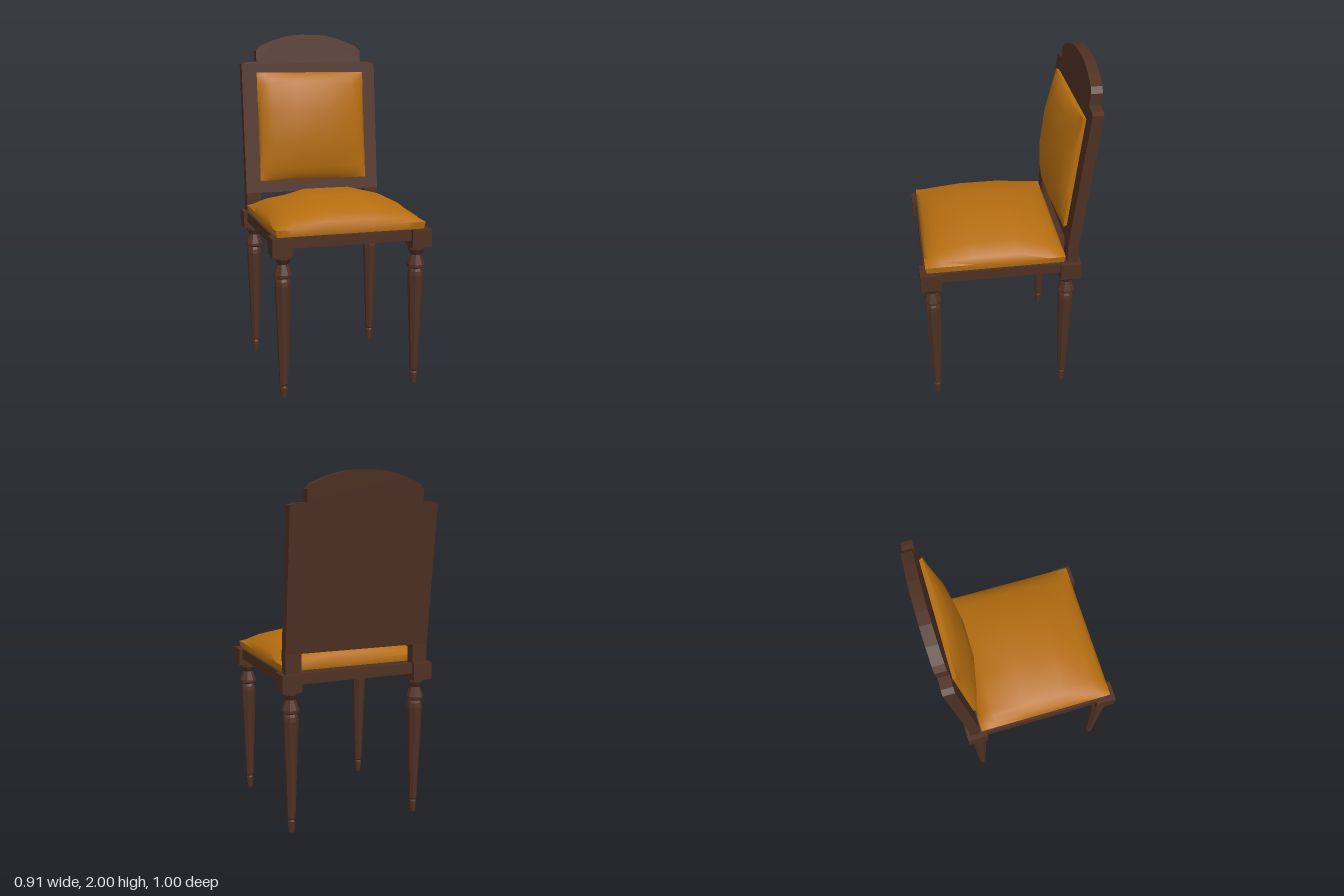
import * as THREE from 'three';
import { mergeVertices, toCreasedNormals } from 'three/addons/utils/BufferGeometryUtils.js';

const wood = new THREE.MeshStandardMaterial({ color: 0x4e3023, flatShading: true });
const fabric = new THREE.MeshStandardMaterial({ color: 0xb56d10 });

const SEAT_TOP = 0.92, BEND = 1.03, LEAN = 0.1134;

function add(parent, name, geometry, material, x = 0, y = 0, z = 0) {
  const mesh = new THREE.Mesh(geometry, material);
  mesh.name = name;
  mesh.position.set(x, y, z);
  parent.add(mesh);
  return mesh;
}

// Domed pillow on y = 0: steep rounded rim rising to a flat middle
function cushionGeometry(width, depth, rim, height) {
  const spots = [-1, -0.95, -0.86, -0.77, -0.32, 0.32, 0.77, 0.86, 0.95, 1];
  const rise = [0, 0.23, 0.46, 0.62, 1, 1, 0.62, 0.46, 0.23, 0];
  const n = spots.length - 1;
  let geo = new THREE.BoxGeometry(2, 1, 2, n, 1, n);
  const p = geo.attributes.position;
  for (let i = 0; i < p.count; i++) {
    const a = Math.round((p.getX(i) / 2 + 0.5) * n);
    const b = Math.round((p.getZ(i) / 2 + 0.5) * n);
    const top = p.getY(i) > 0;
    const s = top ? 0.5 : 0.49;
    p.setXYZ(i, spots[a] * width * s,
      top ? rim + (height - rim) * rise[a] * rise[b] : 0,
      spots[b] * depth * s);
  }
  geo.deleteAttribute('uv');
  geo.deleteAttribute('normal');
  geo = mergeVertices(geo);
  return toCreasedNormals(geo, Math.PI / 3);
}

// Faceted turned leg: half-width and height up the profile
function legGeometry() {
  const profile = [
    [0, 0], [0.016, 0], [0.021, 0.065], [0.016, 0.075], [0.022, 0.085],
    [0.042, 0.65], [0.038, 0.675], [0.03, 0.69], [0.047, 0.7], [0.047, 0.715],
    [0.027, 0.77], [0.044, 0.8], [0.044, 0.83],
  ];
  const k = 1 / Math.cos(Math.PI / 8);
  const geo = new THREE.LatheGeometry(profile.map(([r, y]) => new THREE.Vector2(r * k, y)), 8);
  return geo.rotateY(Math.PI / 8);
}

// Back board with sloping shoulders and an arched crest, leaning backwards
function backGeometry() {
  const half = [
    [0.43, BEND], [0.43, 1.82], [0.4, 1.832], [0.337, 1.835], [0.337, 1.9],
    [0.31, 1.93], [0.22, 1.967], [0.12, 1.994], [0.05, 2],
  ];
  const outline = [...half, ...half.map(([x, y]) => [-x, y]).reverse()];
  const shape = new THREE.Shape(outline.map(([x, y]) => new THREE.Vector2(x, y)));
  const geo = new THREE.ExtrudeGeometry(shape, { depth: 0.062, bevelEnabled: false });
  geo.translate(0, 0, -0.391);
  const p = geo.attributes.position;
  for (let i = 0; i < p.count; i++) p.setZ(i, p.getZ(i) - LEAN * (p.getY(i) - BEND));
  geo.computeVertexNormals();
  return geo;
}

export function createModel() {
  const chair = new THREE.Group();
  chair.name = 'chair';

  // Legs with square corner blocks
  const leg = legGeometry();
  const block = new THREE.BoxGeometry(0.115, 0.1, 0.117);
  for (const [end, legZ, blockZ] of [['front', 0.435, 0.4415], ['back', -0.338, -0.35]]) {
    for (const [side, sx] of [['Left', 1], ['Right', -1]]) {
      add(chair, `${end}${side}Leg`, leg, wood, sx * 0.387, 0, legZ);
      add(chair, `${end}${side}Block`, block, wood, sx * 0.3985, 0.87, blockZ);
    }
  }

  // Seat frame and cushion
  add(chair, 'seatFrame', new THREE.BoxGeometry(0.87, 0.06, 0.865), wood, 0, SEAT_TOP - 0.0305, 0.0455);
  add(chair, 'seatCushion', cushionGeometry(0.86, 0.79, 0.04, 0.17), fabric, 0, SEAT_TOP, 0.075);

  // Upright posts that leave a gap below the back board
  const post = new THREE.BoxGeometry(0.09, BEND - SEAT_TOP, 0.062);
  for (const [side, sx] of [['left', 1], ['right', -1]]) {
    add(chair, `${side}BackPost`, post, wood, sx * 0.385, (SEAT_TOP + BEND) / 2, -0.36);
  }

  // Back board and its padded cushion
  add(chair, 'backBoard', backGeometry(), wood);
  const midY = 1.435;
  const pad = add(chair, 'backCushion', cushionGeometry(0.685, 0.668, 0.022, 0.104), fabric,
    0, midY, -0.33 - LEAN * (midY - BEND));
  pad.rotation.x = Math.PI / 2 - Math.atan(LEAN);

  return chair;
}
